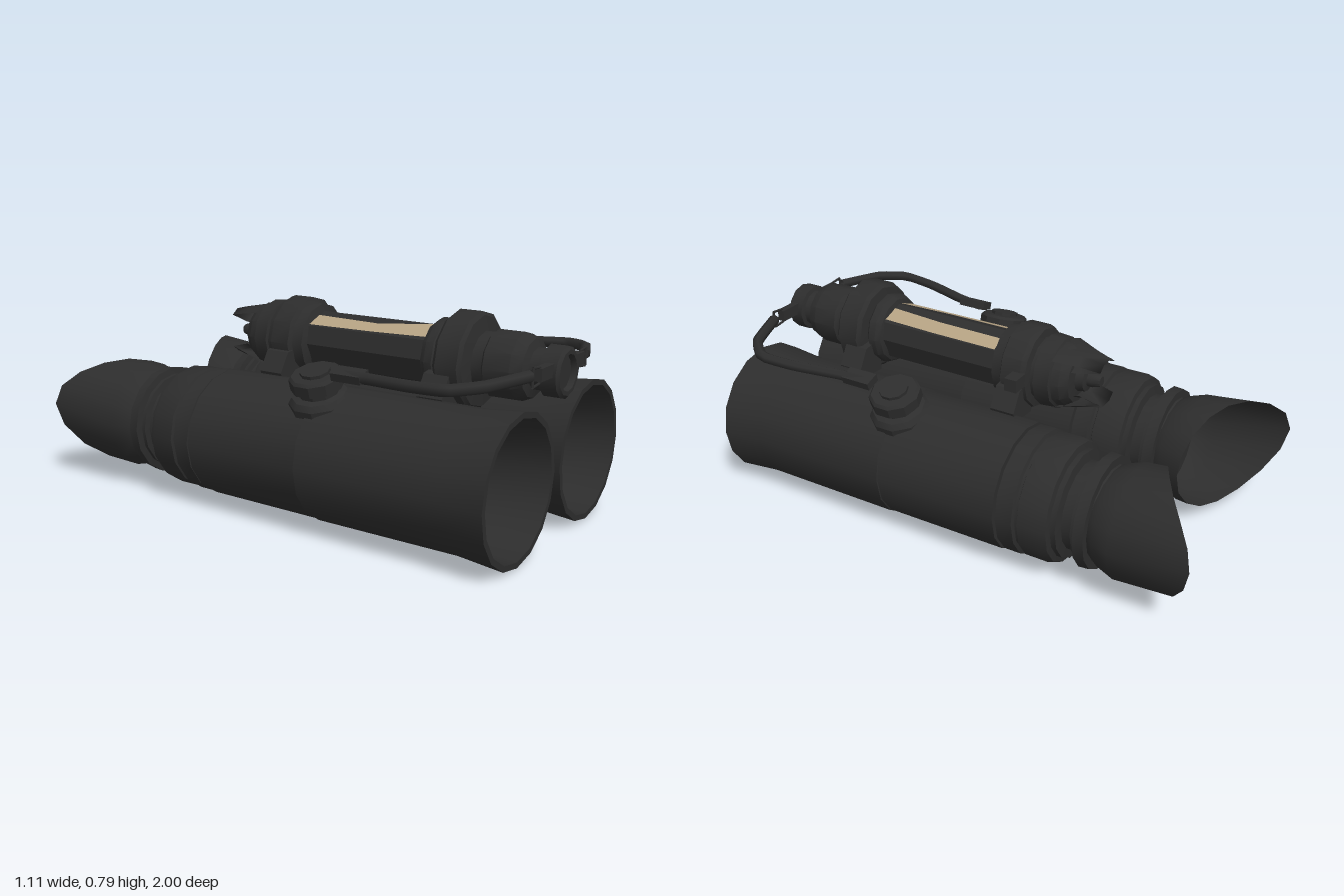
import * as THREE from 'three';
import { toCreasedNormals } from 'three/addons/utils/BufferGeometryUtils.js';

const black = new THREE.MeshStandardMaterial({ color: 0x2d2d2d, side: THREE.DoubleSide });
black.name = 'matte black';
const tan = new THREE.MeshStandardMaterial({ color: 0xb5a283, side: THREE.DoubleSide });
tan.name = 'tan panel';

const BX = 0.287, BY = 0.27; // barrel axis
const CY = 0.615;            // sight tube axis

function add(parent, name, geometry, material = black, x = 0, y = 0, z = 0) {
  const mesh = new THREE.Mesh(geometry, material);
  mesh.name = name;
  mesh.position.set(x, y, z);
  parent.add(mesh);
  return mesh;
}

// Turned part from [radius, height] pairs
function turned(profile, sides) {
  return new THREE.LatheGeometry(profile.map(([r, h]) => new THREE.Vector2(r, h)), sides);
}

// Turned part lying along z
const turnedZ = (profile, sides, crease = 0.6) =>
  toCreasedNormals(turned(profile, sides).rotateX(Math.PI / 2), crease);

// Indexed surface from rings of equal length
function loft(rings, closed) {
  const n = rings[0].length, index = [];
  for (let i = 0; i < rings.length - 1; i++) {
    for (let j = 0; j < (closed ? n : n - 1); j++) {
      const a = i * n + j, b = i * n + (j + 1) % n;
      index.push(a, b, a + n, b, b + n, a + n);
    }
  }
  const g = new THREE.BufferGeometry();
  g.setAttribute('position', new THREE.Float32BufferAttribute(rings.flat(2), 3));
  g.setIndex(index);
  g.computeVertexNormals();
  return g;
}

// Angled eyecup: its rim sweeps back to a point on the outer side
function eyecup(side) {
  const n = 16;
  const ring = (r, back) => Array.from({ length: n }, (_, i) => {
    const a = (i / n) * Math.PI * 2;
    const f = (1 + Math.cos(a)) / 2;
    const tip = back === null ? f ** 4 : 0;
    const z = back === null ? -0.72 - 0.18 * f - 0.1 * tip : back;
    return [side * (r + 0.015 * tip) * Math.cos(a), r * 0.94 * Math.sin(a) + 0.05 * tip, z];
  });
  return loft([ring(0.18, -0.6), ring(0.2, -0.63), ring(0.225, -0.7), ring(0.23, null)], true);
}

function addBarrel(parent, side) {
  const barrel = new THREE.Group();
  barrel.name = side > 0 ? 'leftBarrel' : 'rightBarrel';
  barrel.position.set(side * BX, BY, 0);
  parent.add(barrel);

  // Main tube with a flared, hollow front and a recessed lens
  add(barrel, 'barrelTube', turnedZ([
    [0.2, -0.265], [0.244, -0.265], [0.246, 0.23], [0.25, 0.232], [0.25, 0.8], [0.266, 0.97],
    [0.245, 0.97], [0.225, 0.72], [0.2, 0.7], [0.19, 0.6], [0.12, 0.6],
  ], 16));
  add(barrel, 'objectiveLens', turnedZ([[0.12, 0.6], [0.115, 0.57], [0, 0.57]], 10));

  // Stepped focus rings, then the eyepiece neck
  add(barrel, 'eyepieceRings', turnedZ([
    [0, -0.615], [0.11, -0.615], [0.12, -0.63], [0.17, -0.63], [0.18, -0.605],
    [0.212, -0.605], [0.215, -0.565], [0.19, -0.56], [0.19, -0.545], [0.168, -0.54],
    [0.168, -0.5], [0.205, -0.495], [0.205, -0.475], [0.228, -0.47], [0.236, -0.45],
    [0.236, -0.36], [0.226, -0.355], [0.226, -0.345], [0.24, -0.34], [0.24, -0.275],
    [0.22, -0.272], [0.22, -0.26],
  ], 16));
  add(barrel, 'eyecup', eyecup(side));
}

function addAdjuster(parent, side) {
  // Turret on the barrel, leaning outward
  const turret = add(parent, 'turretKnob', toCreasedNormals(turned([
    [0.115, -0.05], [0.115, 0.0], [0.1, 0.02], [0.075, 0.025], [0.075, 0.045],
    [0.098, 0.05], [0.098, 0.09], [0.088, 0.1], [0.055, 0.1], [0.055, 0.112], [0, 0.112],
  ], 10), 0.6), black, side * 0.37, 0.492, 0.23);
  turret.rotation.z = -side * 0.3;

  // Flat tab under the end of the strap
  const tab = add(parent, 'strapTab', new THREE.BoxGeometry(0.06, 0.03, 0.12), black, side * 0.408, 0.6, 0.38);
  tab.rotation.z = -side * 0.3;

  // Strap curving forward to the sight tube
  const points = [
    [0.41, 0.595, 0.36], [0.42, 0.6, 0.46], [0.465, 0.61, 0.64], [0.478, 0.618, 0.79],
    [0.4, 0.628, 0.885], [0.22, 0.638, 0.955],
  ].map(([x, y, z]) => new THREE.Vector3(side * x, y, z));
  const path = new THREE.CatmullRomCurve3(points, false, 'catmullrom', 0.2);
  add(parent, 'strap', new THREE.TubeGeometry(path, 20, 0.021, 6));

  // Wire loop joining strap to sight tube
  const loop = [[0.215, 0.665], [0.165, 0.66], [0.165, 0.605], [0.215, 0.6]]
    .map(([x, y]) => new THREE.Vector3(side * x, y, 0.962));
  loop.forEach((p, i) => add(parent, 'wireLoop',
    new THREE.TubeGeometry(new THREE.LineCurve3(p, loop[(i + 1) % 4]), 1, 0.005, 5)));
  add(parent, 'loopLug', new THREE.BoxGeometry(0.11, 0.045, 0.03), black, side * 0.12, 0.635, 0.96);

  // Saddles tying the sight tube to the barrel
  const saddle = new THREE.Shape([[0.08, 0.46], [0.2, 0.47], [0.215, 0.51], [0.17, 0.585], [0.08, 0.6]]
    .map(([x, y]) => new THREE.Vector2(side * x, y)));
  for (const z of [-0.17, 0.53]) {
    add(parent, 'saddle', new THREE.ExtrudeGeometry(saddle, { depth: 0.1, bevelEnabled: false }), black, 0, 0, z);
  }
}

function addSight(parent) {
  const sight = new THREE.Group();
  sight.name = 'sightTube';
  sight.position.y = CY;
  parent.add(sight);

  // Front end: nose, cap and large collar
  add(sight, 'frontCollars', turnedZ([
    [0.1, 0.48], [0.13, 0.49], [0.142, 0.51], [0.142, 0.54], [0.125, 0.555], [0.165, 0.56],
    [0.178, 0.575], [0.178, 0.66], [0.165, 0.672], [0.11, 0.68], [0.11, 0.72], [0.122, 0.73],
    [0.122, 0.83], [0.105, 0.87], [0.075, 0.88], [0.075, 0.92], [0.092, 0.925], [0.092, 0.985],
    [0.08, 0.995], [0.065, 0.995], [0.06, 0.975], [0, 0.975],
  ], 12));

  // Rear end: stacked rings and a small end stud
  add(sight, 'rearCollars', turnedZ([
    [0, -0.42], [0.02, -0.42], [0.028, -0.39], [0.028, -0.37], [0.05, -0.365], [0.055, -0.335],
    [0.1, -0.33], [0.12, -0.3], [0.125, -0.27], [0.135, -0.265], [0.14, -0.205], [0.125, -0.2],
    [0.125, -0.185], [0.155, -0.18], [0.162, -0.16], [0.162, -0.08], [0.145, -0.07],
    [0.14, -0.03], [0.1, -0.015],
  ], 12));
  add(sight, 'ringTab', new THREE.BoxGeometry(0.08, 0.05, 0.05), black, 0.175, 0.01, -0.155);

  // Tapering lips above and below the stud
  for (const s of [1, -1]) {
    const lip = (w, y, z) => [-1, -0.5, 0.5, 1].map(u => [u * w, s * (y - 0.03 * u * u), z]);
    add(sight, 'rearLip', loft([
      lip(0.115, 0.125, -0.27), lip(0.08, 0.11, -0.36), lip(0.06, 0.095, -0.44),
      lip(0.065, 0.075, -0.36), lip(0.09, 0.08, -0.3),
    ], false));
  }

  // Faceted middle housing with a ridged top
  const ridgeY = x => 0.112 - 0.42 * Math.abs(x);
  const half = [[0.1, ridgeY(0.1)], [0.115, 0], [0.08, -0.085]];
  const outline = [[0, ridgeY(0)], ...half, [0, -0.115], ...half.map(([x, y]) => [-x, y]).reverse()];
  add(sight, 'housing', new THREE.ExtrudeGeometry(
    new THREE.Shape(outline.map(([x, y]) => new THREE.Vector2(x, y))),
    { depth: 0.54, bevelEnabled: false }), black, 0, 0, -0.03);

  // Two tan panels separated by a dark wedge: [outer x, inner x, z]
  const panels = [
    [[-0.1, -0.036, -0.02], [-0.097, -0.045, 0.26], [-0.088, -0.004, 0.5]],
    [[0.1, 0.046, -0.02], [0.097, 0.042, 0.26], [0.09, 0.028, 0.5]],
  ];
  for (const rows of panels) {
    add(sight, 'topPanel', loft(rows.map(([outer, inner, z]) =>
      [Math.min(outer, inner), Math.max(outer, inner)].map(x => [x, ridgeY(x) + 0.005, z])).reverse(), false), tan);
  }
}

export function createModel() {
  const model = new THREE.Group();
  model.name = 'binoculars';
  for (const side of [1, -1]) {
    addBarrel(model, side);
    addAdjuster(model, side);
  }
  addSight(model);
  return model;
}
